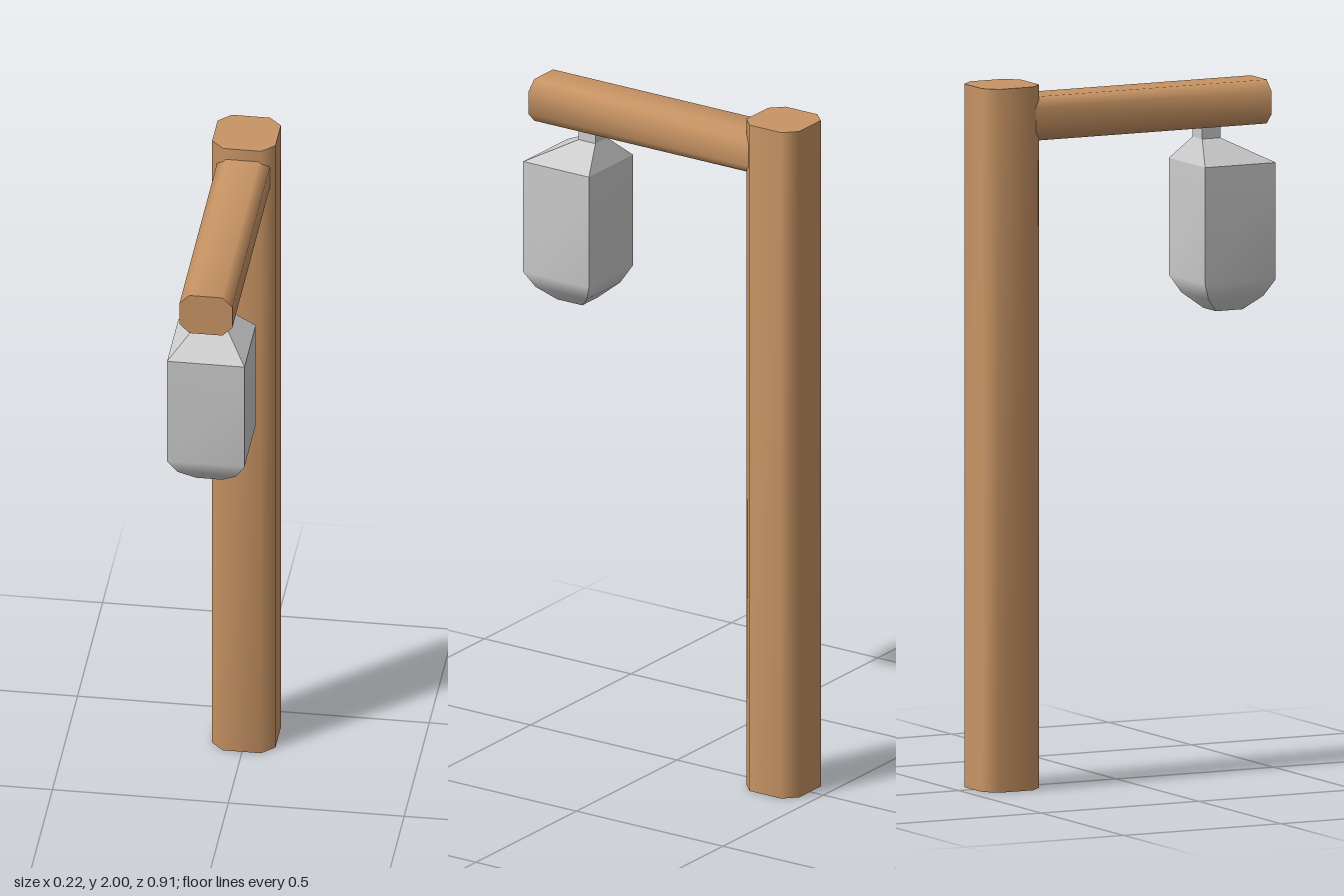
import * as THREE from 'three';

const wood = new THREE.MeshStandardMaterial({ color: 0xc89464, side: THREE.DoubleSide });
wood.name = 'wood';
const grey = new THREE.MeshStandardMaterial({ color: 0xcccccc, side: THREE.DoubleSide });
grey.name = 'grey';

function addMesh(parent, name, geometry, material) {
  const mesh = new THREE.Mesh(geometry, material);
  mesh.name = name;
  parent.add(mesh);
  return mesh;
}

// Square outline with chamfered corners, counter-clockwise
function chamfered(w, h, c) {
  return [[w, -h + c], [w, h - c], [w - c, h], [-w + c, h],
    [-w, h - c], [-w, -h + c], [-w + c, -h], [w - c, -h]];
}

// Smooth-sided beam along +z, open at z = 0, flat cap at the far end
function beam(name, outline, length) {
  const group = new THREE.Group();
  group.name = name;
  const n = outline.length, pos = [], index = [];
  for (const z of [0, length]) for (const [x, y] of outline) pos.push(x, y, z);
  for (let i = 0; i < n; i++) {
    const j = (i + 1) % n;
    index.push(i, j, j + n, i, j + n, i + n);
  }
  const sides = new THREE.BufferGeometry();
  sides.setAttribute('position', new THREE.Float32BufferAttribute(pos, 3));
  sides.setIndex(index);
  sides.computeVertexNormals();
  addMesh(group, name + 'Sides', sides, wood);
  const shape = new THREE.Shape(outline.map(([x, y]) => new THREE.Vector2(x, y)));
  addMesh(group, name + 'End', new THREE.ShapeGeometry(shape).translate(0, 0, length), wood);
  return group;
}

// Four-sided loft, sharp at the vertical corners and smooth up each side.
// Each level is [y, half width, back z, front z], listed from the bottom up.
function squareLoft(levels) {
  const pos = [], index = [];
  for (let s = 0; s < 4; s++) {
    const base = pos.length / 3;
    for (const [y, w, z0, z1] of levels) {
      const c = [[-w, z1], [w, z1], [w, z0], [-w, z0]];
      const a = c[s], b = c[(s + 1) % 4];
      pos.push(a[0], y, a[1], b[0], y, b[1]);
    }
    for (let k = 0; k < levels.length - 1; k++) {
      const i = base + 2 * k;
      index.push(i, i + 1, i + 3, i, i + 3, i + 2);
    }
  }
  const g = new THREE.BufferGeometry();
  g.setAttribute('position', new THREE.Float32BufferAttribute(pos, 3));
  g.setIndex(index);
  g.computeVertexNormals();
  return g;
}

export function createModel() {
  const model = new THREE.Group();
  model.name = 'hangingBagPost';

  // Upright post, open underneath
  const post = beam('post', chamfered(0.09, 0.09, 0.036), 2);
  post.rotation.x = -Math.PI / 2;
  post.position.z = -0.364;
  model.add(post);

  // Horizontal arm
  const arm = beam('arm', chamfered(0.075, 0.0625, 0.028), 0.774);
  arm.position.set(0.001, 1.902, -0.32);
  model.add(arm);

  // Hanging bag
  const bag = new THREE.Group();
  bag.name = 'bag';
  model.add(bag);
  addMesh(bag, 'bagBody', squareLoft([
    [1.315, 0.038, 0.297, 0.382],
    [1.357, 0.083, 0.25, 0.425],
    [1.405, 0.11, 0.225, 0.449],
    [1.7, 0.11, 0.225, 0.449],
    [1.737, 0.11, 0.225, 0.449],
  ]), grey);
  addMesh(bag, 'bagShoulder', squareLoft([
    [1.737, 0.11, 0.225, 0.449],
    [1.806, 0.029, 0.258, 0.316],
  ]), grey);
  addMesh(bag, 'bagNeck', squareLoft([
    [1.806, 0.029, 0.258, 0.316],
    [1.845, 0.029, 0.258, 0.316],
  ]), grey);
  const base = new THREE.PlaneGeometry(0.076, 0.085).rotateX(Math.PI / 2);
  addMesh(bag, 'bagBase', base, grey).position.set(0, 1.315, 0.3395);

  return model;
}
